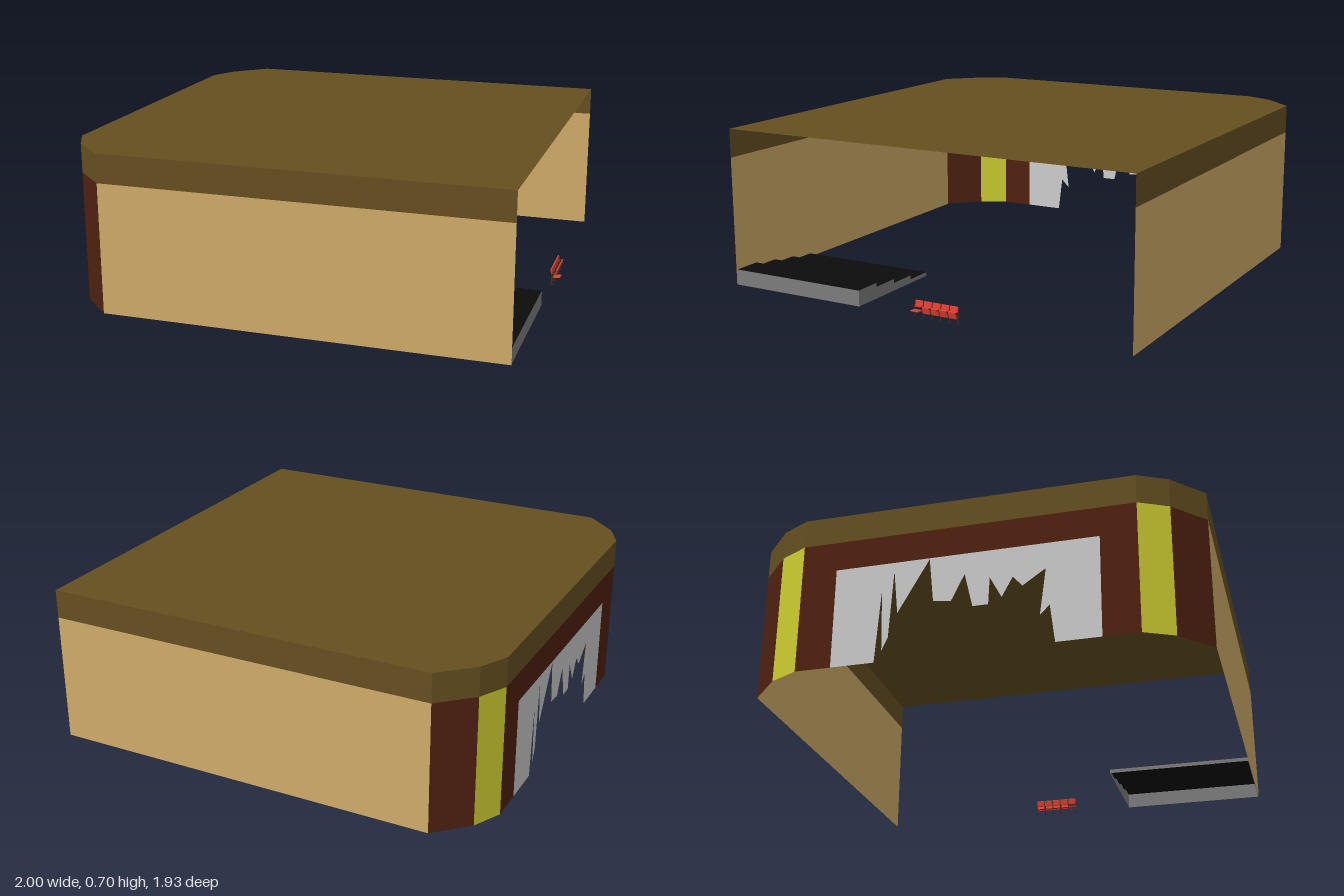
import * as THREE from 'three';
import { RoundedBoxGeometry } from 'three/addons/geometries/RoundedBoxGeometry.js';

const mat = (color) => new THREE.MeshStandardMaterial({ color, side: THREE.DoubleSide, flatShading: true });
const M = {
  tan: mat(0xd0ab69), roof: mat(0x654f20), brown: mat(0x4f2110), yellow: mat(0xcccc30),
  grey: mat(0xcccccc), stone: mat(0x7c7c7c), black: mat(0x0c0c0c), red: mat(0xe04030), dark: mat(0x4a2a1c),
};
const H = 0.577, TOP = 0.705;

function add(parent, name, geometry, material, x = 0, y = 0, z = 0) {
  const mesh = new THREE.Mesh(geometry, material);
  mesh.name = name;
  mesh.position.set(x, y, z);
  parent.add(mesh);
  return mesh;
}

// Upright thin panel standing on the plan line a -> b, given as [x, z]
function panel(parent, name, a, b, y0, y1, material) {
  const dx = b[0] - a[0], dz = b[1] - a[1];
  const mesh = add(parent, name, new THREE.PlaneGeometry(Math.hypot(dx, dz), y1 - y0), material,
    (a[0] + b[0]) / 2, (y0 + y1) / 2, (a[1] + b[1]) / 2);
  mesh.rotation.y = -Math.atan2(dz, dx);
  return mesh;
}

const toPoints = (list) => list.map(([x, y]) => new THREE.Vector2(x, y));

function createStairs() {
  const g = new THREE.Group();
  g.name = 'stairs';
  const steps = 4, x0 = 0.963, depth = 0.129, rise = 0.0175, z0 = 0.3, z1 = 0.962;
  // Outer face, then each tread with the riser at its low side
  panel(g, 'stairFront', [x0, z1], [x0, z0], 0, steps * rise, M.stone);
  for (let i = 0; i < steps; i++) {
    const y = (steps - i) * rise, xa = x0 - i * depth, xb = xa - depth;
    const tread = add(g, 'tread', new THREE.PlaneGeometry(depth, z1 - z0), M.black, (xa + xb) / 2, y, (z0 + z1) / 2);
    tread.rotation.x = -Math.PI / 2;
    panel(g, 'riser', [xb, z0], [xb, z1], y - rise, y, M.stone);
    for (const z of [z0, z1]) panel(g, 'stairSide', [xb, z], [xa, z], 0, y, M.stone);
  }
  return g;
}

function createSeatRow() {
  const g = new THREE.Group();
  g.name = 'seatRow';
  const pitch = 0.042, count = 5;
  for (let i = 0; i < count; i++) {
    const z = -i * pitch;
    const back = add(g, 'seatBack', new RoundedBoxGeometry(0.007, 0.03, 0.038, 2, 0.003), M.red, 0.957, 0.057, z);
    back.rotation.z = 0.15;
    // The first seat is folded down, the others are up
    const seat = add(g, 'seat', new RoundedBoxGeometry(0.034, 0.007, 0.037, 2, 0.003), M.red,
      i ? 0.971 : 0.981, i ? 0.038 : 0.034, z);
    seat.rotation.z = i ? 1.3 : 0.12;
  }
  // Armrests and legs between the seats
  for (let i = 0; i <= count; i++) {
    const z = (0.5 - i) * pitch;
    add(g, 'armrest', new THREE.BoxGeometry(0.03, 0.003, 0.004), M.dark, 0.971, 0.05, z);
    add(g, 'leg', new THREE.BoxGeometry(0.004, 0.05, 0.003), M.dark, 0.96, 0.025, z);
    add(g, 'foot', new THREE.BoxGeometry(0.02, 0.003, 0.004), M.dark, 0.962, 0.0015, z);
  }
  add(g, 'seatRail', new THREE.BoxGeometry(0.004, 0.004, count * pitch), M.dark, 0.962, 0.028, -2 * pitch);
  return g;
}

export function createModel() {
  const model = new THREE.Group();
  model.name = 'hall';

  // Plan outline, open on the +x side
  const half = [[0.965, 0.965], [-0.797, 0.965], [-0.937, 0.832], [-1, 0.707]];
  const plan = [...half, ...half.map(([x, z]) => [x, -z]).reverse()];
  const wallMats = [M.tan, M.brown, M.yellow, null, M.yellow, M.brown, M.tan];
  const names = ['sideWall', 'cornerPanel', 'cornerStripe', '', 'cornerStripe', 'cornerPanel', 'sideWall'];
  wallMats.forEach((m, i) => {
    if (m) panel(model, names[i], plan[i], plan[i + 1], 0, H, m);
    panel(model, 'roofBand', plan[i], plan[i + 1], H, TOP, M.roof);
  });
  const roof = add(model, 'roof', new THREE.ShapeGeometry(new THREE.Shape(toPoints(plan).reverse())), M.roof, 0, TOP, 0);
  roof.rotation.x = Math.PI / 2;

  // End wall around a wide doorway; shapes use (z, y)
  const w = 0.555, h = 0.445, e = 0.707;
  const wall = new THREE.Shape(toPoints([[-e, 0], [-w, 0], [-w, h], [w, h], [w, 0], [e, 0], [e, H], [-e, H]]));
  // Broken pane filling the doorway
  const jagged = [[0.37, 0], [0.35, 0.165], [0.31, 0.125], [0.335, 0.33], [0.24, 0.265], [0.2, 0.31],
    [0.155, 0.225], [0.105, 0.32], [0.1, 0.2], [0.035, 0.2], [0, 0.35], [-0.055, 0.235], [-0.13, 0.245],
    [-0.15, 0.44], [-0.28, 0.21], [-0.3, 0.405], [-0.315, 0.105], [-0.34, 0.05], [-0.35, 0.32], [-0.37, 0]];
  const pane = new THREE.Shape(toPoints([...jagged, [-w, 0], [-w, h], [w, h], [w, 0]]));
  for (const [name, shape, m] of [['endWall', wall, M.brown], ['brokenPane', pane, M.grey]]) {
    add(model, name, new THREE.ShapeGeometry(shape), m, -1, 0, 0).rotation.y = -Math.PI / 2;
  }

  model.add(createStairs(), createSeatRow());
  return model;
}
